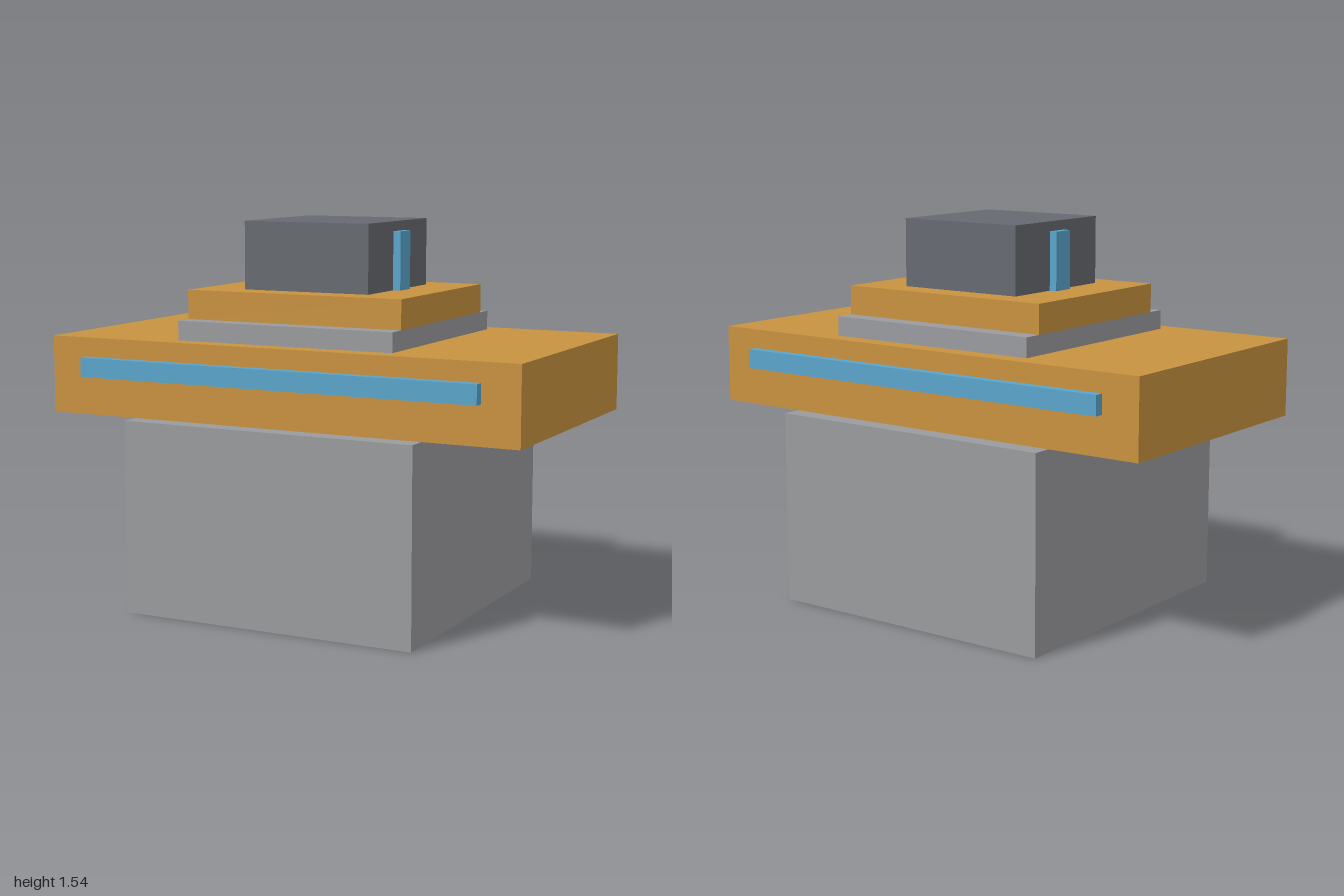
import * as THREE from 'three';

const U = 1 / 13; // modelling unit

export function createModel() {
  const model = new THREE.Group();
  model.name = 'tieredTower';

  const material = (name, color) => {
    const m = new THREE.MeshStandardMaterial({ color });
    m.name = name;
    return m;
  };
  const grey = material('stoneGrey', 0x9a9b9e);
  const ochre = material('ochre', 0xc8923f);
  const dark = material('darkGrey', 0x666970);
  const blue = material('windowBlue', 0x5aa5cb);

  // Box standing on y, sized in units
  const block = (name, mat, w, h, d, x, y, z) => {
    const mesh = new THREE.Mesh(new THREE.BoxGeometry(w * U, h * U, d * U), mat);
    mesh.name = name;
    mesh.position.set(x * U, (y + h / 2) * U, z * U);
    model.add(mesh);
  };

  // Stacked tiers, bottom to top
  block('base', grey, 16, 10, 16, 0, 0, 0);
  block('wideSlab', ochre, 26, 4, 14, 0, 10, 0);
  block('lowerTier', grey, 12, 1, 12, 0, 14, 0);
  block('upperTier', ochre, 12, 1.5, 10, 0, 15, 0);
  block('cabin', dark, 7, 3.5, 7, 0, 16.5, 0);

  // Long window strips front and back, narrow strips on the cabin sides
  for (const s of [1, -1]) {
    block(s > 0 ? 'frontWindowStrip' : 'backWindowStrip', blue, 22, 1, 0.5, 0, 12, s * 7.25);
    block(s > 0 ? 'leftCabinStrip' : 'rightCabinStrip', blue, 0.4, 3, 1.2, s * 3.7, 16.5, 0);
  }

  return model;
}
